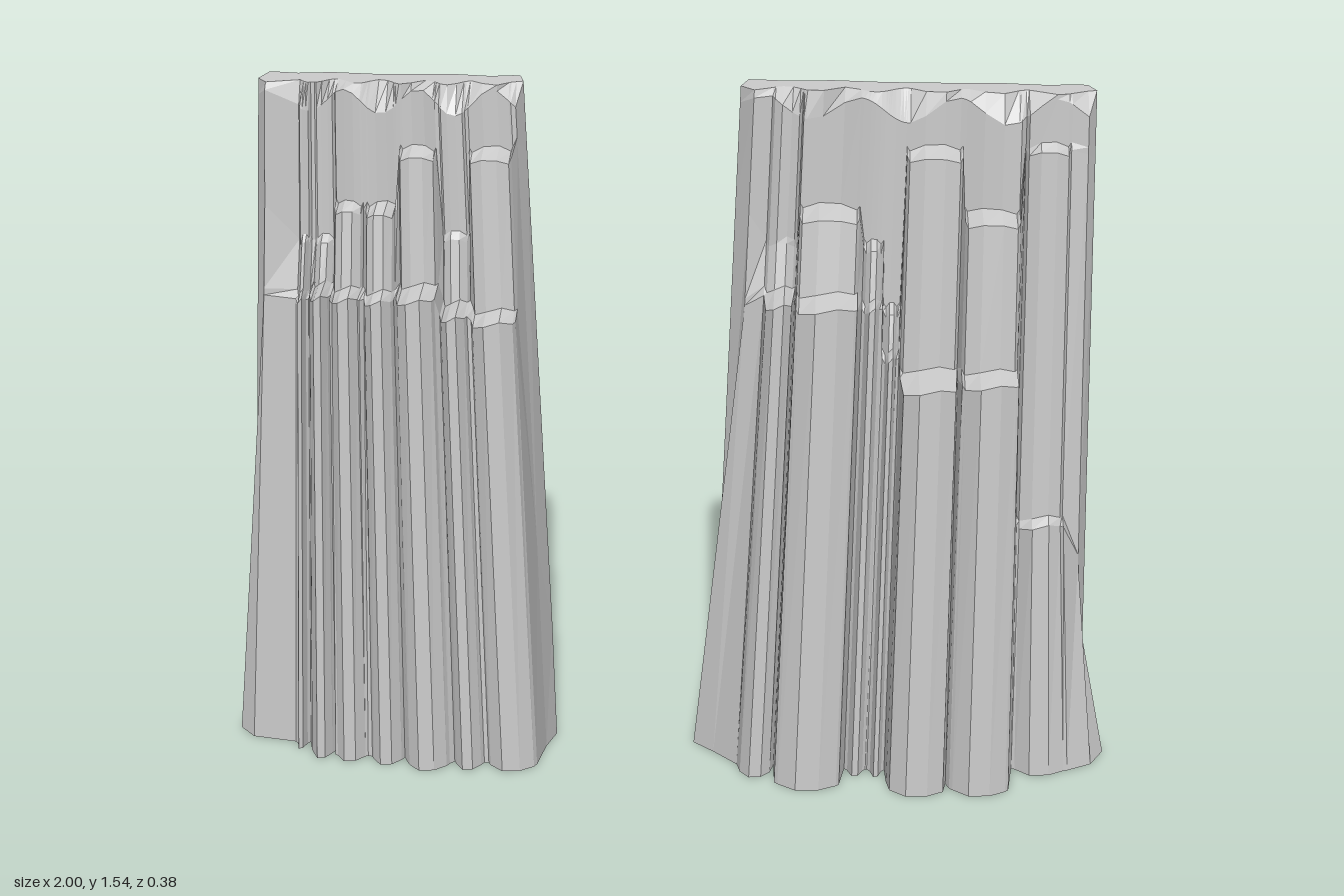
import * as THREE from 'three';

const TOP = 1.545;
const lerp = THREE.MathUtils.lerp;
const material = new THREE.MeshStandardMaterial({ color: 0xcccccc, flatShading: true, side: THREE.DoubleSide });

// Closed rock shell. left/right: [xBase, xTop, outward foot]; back: depth of the foot behind.
// Each column: [uStart, uEnd, ledgeY, z, upperLedgeY, upperZ, valleyZ], u running across the wall.
function rockWall(name, { left, right, back, columns }) {
  const strands = [];

  // u across the wall and height to x, with a foot spreading at the ends
  const xAt = (u, y) => {
    const t = y / TOP, e = 2 * u - 1;
    const foot = Math.max(0, 1 - y / 0.28) * Math.abs(e) ** 5;
    return lerp(lerp(left[0], left[1], t), lerp(right[0], right[1], t), u)
      + foot * (e < 0 ? -left[2] : right[2]);
  };
  const addStrand = (u, rows) => strands.push(rows.map(([y, z]) => [xAt(u, y), y, z]));

  // Front strand stepping back at two ledges and a worn rim
  const addFront = (u, y1, z1, y2, z2, foot = z1 + 0.02) => {
    const rest = Math.min(z2, -0.008 + 0.014 * Math.sin(u * 19));
    const rim = 1.51 + 0.025 * Math.sin(u * 23);
    const crest = Math.min(rest, -0.036 + 0.018 * Math.sin(u * 37));
    addStrand(u, [[0, foot], [y1, z1], [y1 + 0.015, Math.min(z1, z2 + 0.025)],
      [y2, z2], [y2 + 0.015, rest], [rim, rest], [TOP, crest]]);
  };

  addFront(0, 0.28, -0.04, 1.28, -0.05);
  addFront(0.04, 1.08, 0, 1.28, -0.01);
  for (const [u0, u1, y1, z, y2, upper, valley] of columns) {
    const w = u1 - u0, low = Math.min(valley, upper - 0.025);
    const foot = lerp(valley, z, 0.6);
    addFront(u0 - 0.008, y1, valley, y2, low, foot);
    addFront(u0, y1 - 0.01, z - 0.025, y2 - 0.01, upper - 0.01);
    addFront(u0 + w * 0.3, y1, z, y2, upper);
    addFront(u1 - w * 0.3, y1 + 0.01, z - 0.004, y2, upper);
    addFront(u1, y1, z - 0.025, y2 - 0.01, upper - 0.012);
    addFront(u1 + 0.008, y1, valley, y2, low, foot);
  }
  addFront(0.975, 0.5, 0, 1.42, -0.02);
  addFront(1, 0.28, -0.06, 1.4, -0.06);

  // Back, gently ridged and leaning forward, rounding in at both ends
  for (let k = 0; k <= 9; k++) {
    const u = 0.5 + 0.48 * Math.cos(Math.PI * k / 9);
    const inset = 1 - 0.35 * Math.abs(2 * u - 1) ** 10;
    const base = -back * inset, crest = -0.105 - 0.006 * Math.sin(k * 2.4);
    const heights = [0, 0.1 + 0.12 * (k % 2), 0.4, 0.7, 1, 1.3, TOP];
    addStrand(u, heights.map(y => [y, lerp(base, crest, y / TOP) + (y ? 0.012 * (1 - y / TOP) : 0)]));
  }

  // Skin between neighbouring strands
  const n = strands.length, rows = strands[0].length, index = [];
  for (let i = 0; i < n; i++) {
    for (let j = 0; j < rows - 1; j++) {
      const a = i * rows + j, b = ((i + 1) % n) * rows + j;
      index.push(a, b, b + 1, a, b + 1, a + 1);
    }
  }
  // Flat top; the underside stays open
  const rim = strands.map(s => new THREE.Vector2(s[rows - 1][0], -s[rows - 1][2]));
  for (const face of THREE.ShapeUtils.triangulateShape(rim, [])) {
    index.push(...face.map(i => i * rows + rows - 1));
  }

  const geometry = new THREE.BufferGeometry();
  geometry.setAttribute('position', new THREE.Float32BufferAttribute(strands.flat(2), 3));
  geometry.setIndex(index);
  geometry.computeVertexNormals();
  const mesh = new THREE.Mesh(geometry, material);
  mesh.name = name;
  return mesh;
}

export function createModel() {
  const group = new THREE.Group();
  group.name = 'cliffWalls';

  // Wide wall: two tall columns with blocks stepping up behind them
  group.add(rockWall('wideCliffWall', {
    left: [0.10, 0.15, 0.04],
    right: [0.95, 0.885, 0.05],
    back: 0.19,
    columns: [
      [0.10, 0.17, 1.11, 0.11, 1.22, 0.00, 0.02],
      [0.19, 0.34, 1.12, 0.16, 1.29, 0.06, 0.13],
      [0.37, 0.41, 1.10, 0.09, 1.22, 0.04, 0.06],
      [0.43, 0.46, 0.99, 0.09, 1.08, 0.04, 0.06],
      [0.48, 0.62, 0.95, 0.17, 1.42, 0.04, 0.07],
      [0.645, 0.78, 0.96, 0.16, 1.29, 0.07, 0.13],
      [0.81, 0.92, 0.60, 0.06, 1.43, 0.01, 0.04],
    ],
  }));

  // Narrow wall: columns of near equal height
  group.add(rockWall('narrowCliffWall', {
    left: [-0.97, -0.865, 0.03],
    right: [-0.26, -0.305, 0],
    back: 0.165,
    columns: [
      [0.17, 0.20, 1.08, 0.05, 1.20, 0.00, 0.02],
      [0.23, 0.29, 1.10, 0.09, 1.20, 0.00, 0.05],
      [0.31, 0.40, 1.10, 0.10, 1.28, 0.03, 0.08],
      [0.43, 0.52, 1.10, 0.11, 1.28, 0.05, 0.07],
      [0.55, 0.67, 1.11, 0.13, 1.40, 0.03, 0.09],
      [0.70, 0.78, 1.07, 0.12, 1.22, 0.02, 0.08],
      [0.81, 0.95, 1.06, 0.12, 1.40, 0.04, 0.08],
    ],
  }));
  return group;
}
